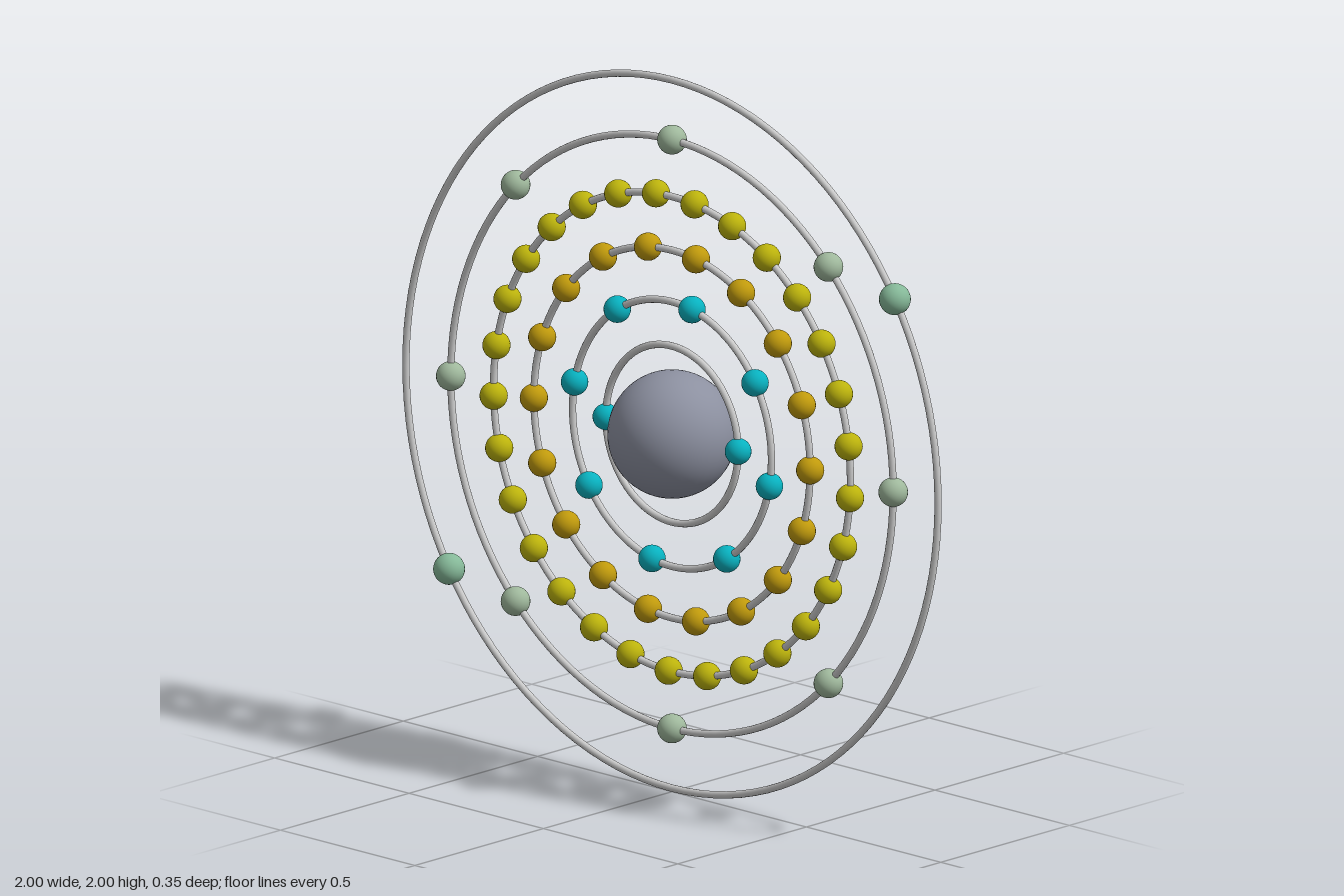
import * as THREE from 'three';

// Each shell: ring radius, electron count, first angle in degrees, electron radius, colour
const SHELLS = [
  { radius: 0.246, count: 2, start: 0, size: 0.036, color: 0x08b2c0 },
  { radius: 0.370, count: 8, start: 33.4, size: 0.037, color: 0x08b2c0 },
  { radius: 0.514, count: 18, start: 0, size: 0.038, color: 0xc09a0c },
  { radius: 0.664, count: 29, start: 8.25, size: 0.038, color: 0xbcb30c },
  { radius: 0.823, count: 8, start: 0, size: 0.04, color: 0x9fb89c },
  { radius: 0.990, count: 2, start: 33.1, size: 0.043, color: 0x85b898 },
];
const TUBE = 0.01;

function addMesh(parent, name, geometry, material) {
  const mesh = new THREE.Mesh(geometry, material);
  mesh.name = name;
  parent.add(mesh);
  return mesh;
}

// One orbit ring with its evenly spaced electrons
function createShell(shell, index, ringMaterial) {
  const group = new THREE.Group();
  group.name = `shell${index + 1}`;
  addMesh(group, 'orbitRing', new THREE.TorusGeometry(shell.radius, TUBE, 12, 120), ringMaterial);

  const geometry = new THREE.SphereGeometry(shell.size, 24, 16);
  const material = new THREE.MeshStandardMaterial({ color: shell.color });
  for (let i = 0; i < shell.count; i++) {
    const angle = THREE.MathUtils.degToRad(shell.start + (360 * i) / shell.count);
    addMesh(group, 'electron', geometry, material)
      .position.set(Math.cos(angle) * shell.radius, Math.sin(angle) * shell.radius, 0);
  }
  return group;
}

export function createModel() {
  const model = new THREE.Group();
  model.name = 'atomModel';

  // Everything is centred on the nucleus, one unit above the base
  const atom = new THREE.Group();
  atom.name = 'atom';
  atom.position.y = 1;
  model.add(atom);

  addMesh(atom, 'nucleus', new THREE.SphereGeometry(0.174, 40, 28),
    new THREE.MeshStandardMaterial({ color: 0x8c90a0 }));

  const ringMaterial = new THREE.MeshStandardMaterial({ color: 0xcccccc });
  SHELLS.forEach((shell, i) => atom.add(createShell(shell, i, ringMaterial)));

  return model;
}
